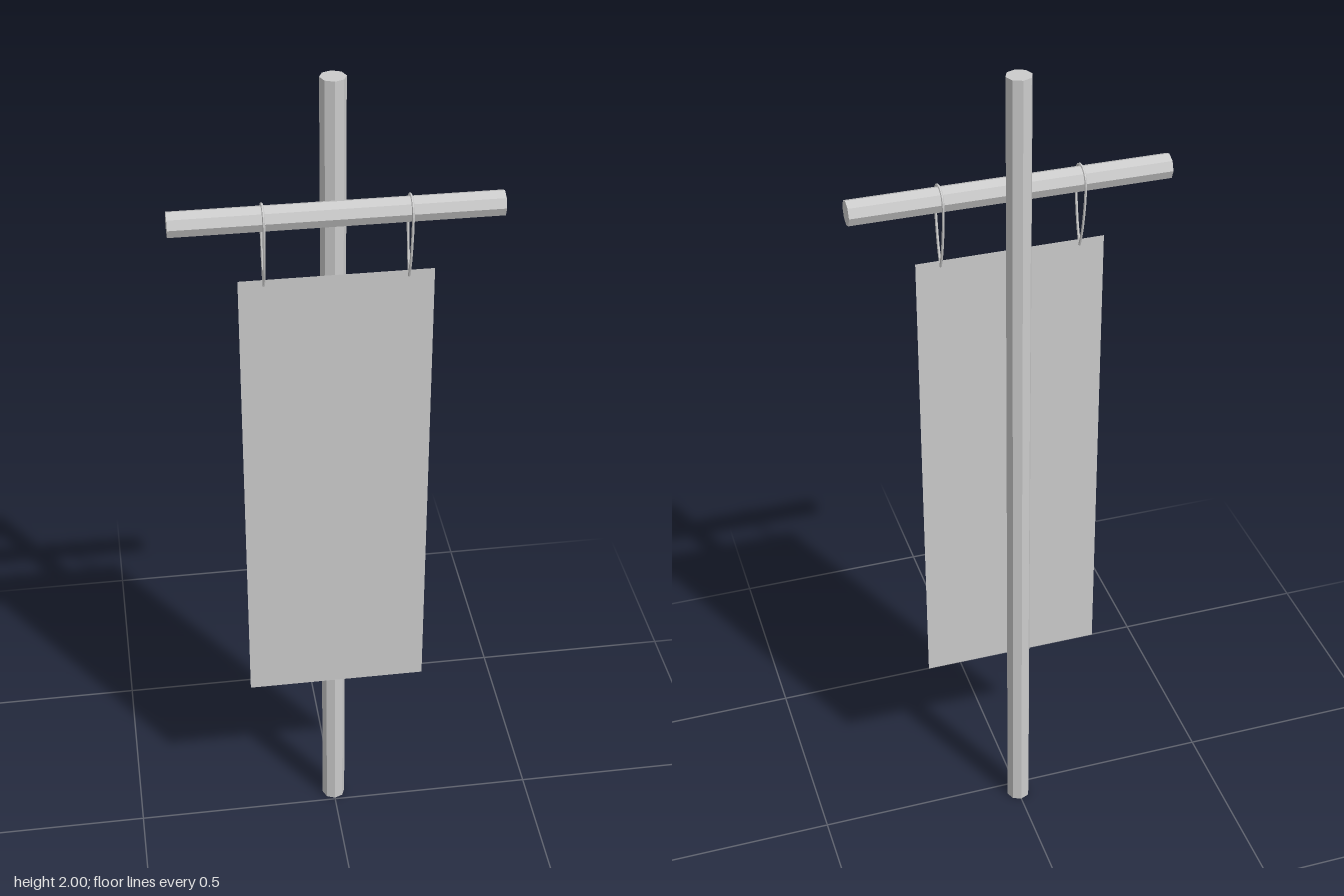
import * as THREE from 'three';

const BAR_Y = 1.718, BAR_Z = 0.0245, R = 0.0285;

export function createModel() {
  const model = new THREE.Group();
  const grey = new THREE.MeshStandardMaterial({ color: 0xcccccc, flatShading: true });
  const cloth = new THREE.MeshStandardMaterial({ color: 0xcccccc, side: THREE.DoubleSide });

  const add = (name, geometry, material, x, y, z) => {
    const mesh = new THREE.Mesh(geometry, material);
    mesh.name = name;
    mesh.position.set(x, y, z);
    model.add(mesh);
    return mesh;
  };

  // Upright pole and the crossbar fixed to its front
  add('pole', new THREE.CylinderGeometry(R, R, 2, 8), grey, 0, 1, -0.0325);
  const bar = new THREE.CylinderGeometry(R, R, 0.714, 8).rotateZ(Math.PI / 2);
  add('crossbar', bar, grey, 0, BAR_Y, BAR_Z);

  // Thin hanging banner
  add('banner', new THREE.PlaneGeometry(0.426, 1.14), cloth, 0, 1.002, BAR_Z);

  // Teardrop cords: round over the bar, drawn to a point at the banner
  const r = 0.031;
  const arc = [];
  for (let i = 0; i <= 8; i++) {
    const a = Math.PI * i / 8;
    arc.push(new THREE.Vector3(0, r * Math.sin(a), r * Math.cos(a)));
  }
  const side = [[-0.04, 0.0295], [-0.08, 0.0235], [-0.12, 0.0145], [-0.16, 0]];
  const front = side.map(([y, z]) => new THREE.Vector3(0, y, z)).reverse();
  const back = side.map(([y, z]) => new THREE.Vector3(0, y, -z));
  const path = new THREE.CatmullRomCurve3([...front, ...arc, ...back]);
  const cord = new THREE.TubeGeometry(path, 40, 0.003, 6);
  for (const s of [1, -1]) {
    add(s > 0 ? 'leftCord' : 'rightCord', cord, grey, s * 0.157, BAR_Y, BAR_Z);
  }
  return model;
}
